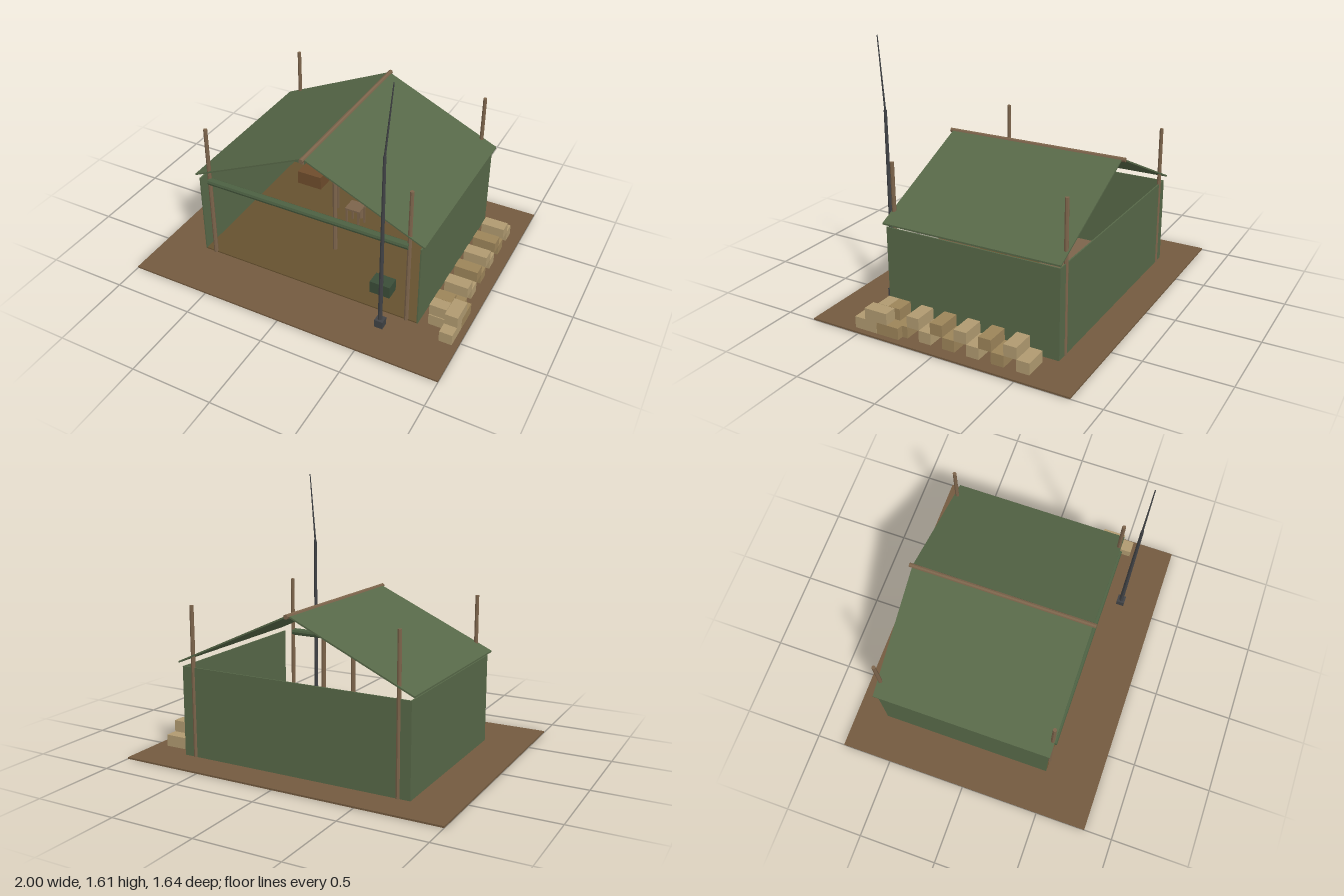
import * as THREE from 'three';

const mat = (color) => new THREE.MeshStandardMaterial({ color, flatShading: true });
const M = {
  earth: mat(0x735a3f), floor: mat(0x66512f), canvas: mat(0x576848), roll: mat(0x4c6042),
  wood: mat(0x7c644b), crate: mat(0x6e4c2c), chest: mat(0x3a4d38), metal: mat(0x404245),
  bagLight: mat(0xb09a70), bagDark: mat(0x9c8459),
};

export function createModel() {
  const root = new THREE.Group();

  const add = (name, geometry, material, parent = root) => {
    const mesh = new THREE.Mesh(geometry, material);
    mesh.name = name;
    parent.add(mesh);
    return mesh;
  };
  // Box given by its extents on each axis
  const box = (name, material, [x0, x1], [y0, y1], [z0, z1], parent) => {
    const mesh = add(name, new THREE.BoxGeometry(x1 - x0, y1 - y0, z1 - z0), material, parent);
    mesh.position.set((x0 + x1) / 2, (y0 + y1) / 2, (z0 + z1) / 2);
    return mesh;
  };
  // Tapered rod between two points
  const rod = (name, material, a, b, r0, r1 = r0, sides = 8, parent = root) => {
    const from = new THREE.Vector3(...a), to = new THREE.Vector3(...b);
    const dir = to.clone().sub(from);
    const mesh = add(name, new THREE.CylinderGeometry(r1, r0, dir.length(), sides), material, parent);
    mesh.position.copy(from).add(to).multiplyScalar(0.5);
    mesh.quaternion.setFromUnitVectors(new THREE.Vector3(0, 1, 0), dir.normalize());
    return mesh;
  };

  // Ground and tent floor
  box('ground', M.earth, [-1, 1], [0, 0.01], [-0.82, 0.82]);
  box('tentFloor', M.floor, [-0.72, 0.72], [0.01, 0.018], [-0.615, 0.475]);

  // Canvas walls, open at the front and at both gables
  for (const s of [-1, 1]) {
    const side = s < 0 ? 'right' : 'left';
    const wall = box(`${side}Wall`, M.canvas, [-0.004, 0.004], [0.01, 0.55], [-0.62, 0.475]);
    wall.position.x = s * 0.725;
  }
  box('backWall', M.canvas, [-0.729, 0.729], [0.01, 0.55], [-0.622, -0.614]);

  // Pitched roof as one folded sheet
  const fold = new THREE.Shape([
    [-0.75, 0.57], [0, 0.914], [0.75, 0.57], [0.75, 0.58], [0, 0.924], [-0.75, 0.58],
  ].map(([x, y]) => new THREE.Vector2(x, y)));
  const roof = add('roof', new THREE.ExtrudeGeometry(fold, { depth: 1.12, bevelEnabled: false }), M.canvas);
  roof.position.z = -0.635;

  // Poles: four corners, two at the centre line, and the ridge
  for (const x of [-0.655, 0.655]) {
    for (const z of [-0.617, 0.471]) {
      rod('cornerPole', M.wood, [x, 0.01, z], [x, 0.915, z], 0.014, 0.012);
    }
  }
  for (const z of [-0.25, 0.11]) {
    rod('centrePole', M.wood, [0, 0.01, z], [0, 0.91, z], 0.015, 0.013);
  }
  rod('ridgePole', M.wood, [0, 0.917, -0.655], [0, 0.917, 0.505], 0.014);

  // Rolled-up front flap
  rod('rolledFlap', M.roll, [-0.655, 0.552, 0.476], [0.655, 0.552, 0.476], 0.023, 0.023, 10);

  // Table and stool share one builder
  const legged = (name, halfX, z0, z1, top, thick, inset, legR) => {
    const group = new THREE.Group();
    group.name = name;
    root.add(group);
    box(`${name}Top`, M.wood, [-halfX, halfX], [top - thick, top], [z0, z1], group);
    for (const x of [-halfX + inset, halfX - inset]) {
      for (const z of [z0 + inset * 0.7, z1 - inset * 0.7]) {
        box(`${name}Leg`, M.wood, [x - legR, x + legR], [0.018, top - thick], [z - legR, z + legR], group);
      }
    }
  };
  legged('table', 0.22, -0.49, -0.25, 0.272, 0.014, 0.035, 0.008);
  legged('stool', 0.052, -0.22, -0.12, 0.165, 0.012, 0.009, 0.006);

  // Stored boxes
  box('crate', M.crate, [-0.565, -0.385], [0.018, 0.114], [-0.53, -0.4]);
  box('chest', M.chest, [0.37, 0.5], [0.018, 0.098], [0.28, 0.37]);

  // Aerial: base block, stepped mast and leaning whip
  const aerial = new THREE.Group();
  aerial.name = 'aerial';
  root.add(aerial);
  box('aerialBase', M.metal, [0.518, 0.57], [0.01, 0.06], [0.559, 0.611], aerial);
  rod('aerialMast', M.metal, [0.543, 0.06, 0.585], [0.543, 1.17, 0.585], 0.014, 0.009, 8, aerial);
  rod('aerialWhip', M.metal, [0.543, 1.16, 0.585], [0.581, 1.605, 0.585], 0.006, 0.003, 6, aerial);

  // Sandbag wall: two staggered courses, with bags turned lengthwise at the front end
  const bags = new THREE.Group();
  bags.name = 'sandbags';
  root.add(bags);
  const course = [[0.01, 0.08], [0.08, 0.15]];
  for (let i = 0; i < 13; i++) {
    const z = -0.511 + i * 0.0765;
    const upper = i % 2;
    const short = i === 11 ? 0.884 : 0.925;
    box('sandbag', i % 4 < 2 ? M.bagLight : M.bagDark, [0.78, short], course[upper], [z - 0.039, z + 0.039], bags);
  }
  box('sandbag', M.bagLight, [0.78, 0.884], course[1], [0.37, 0.44], bags);
  box('endSandbag', M.bagDark, [0.886, 0.965], course[0], [0.25, 0.395], bags);
  box('endSandbag', M.bagLight, [0.886, 0.965], course[0], [0.397, 0.543], bags);
  box('endSandbag', M.bagLight, [0.886, 0.965], course[1], [0.325, 0.472], bags);

  return root;
}
